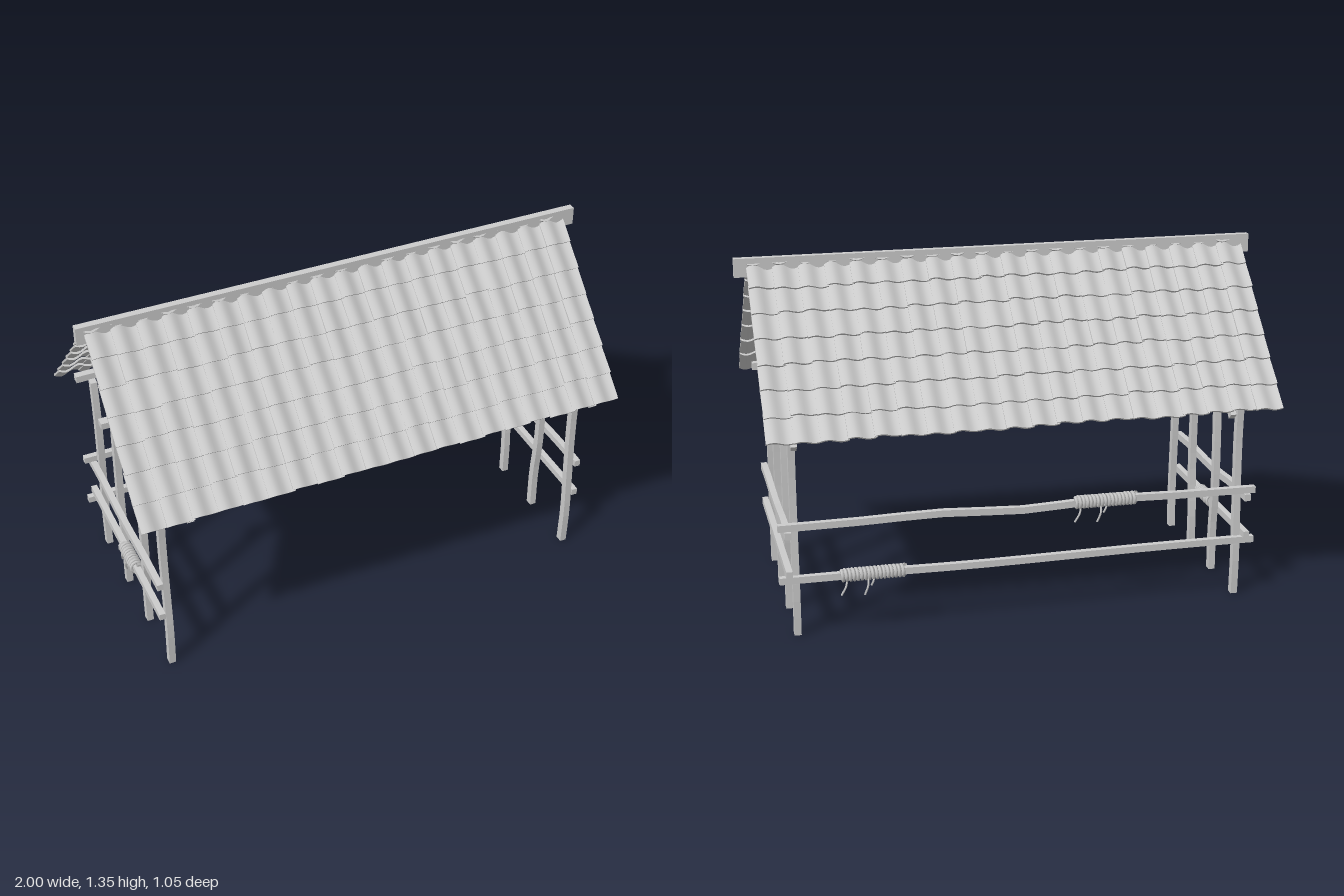
import * as THREE from 'three';
import { mergeGeometries, toCreasedNormals } from 'three/addons/utils/BufferGeometryUtils.js';

const SLOPE = 0.814;                 // roof pitch in radians
const RIDGE_Y = 1.315;
const TAN = Math.tan(SLOPE);

export function createModel() {
  const root = new THREE.Group();
  const wood = new THREE.MeshStandardMaterial({ color: 0xcccccc, flatShading: true });
  const smooth = new THREE.MeshStandardMaterial({ color: 0xcccccc, side: THREE.DoubleSide });

  let seed = 7;
  const rnd = () => (seed = (seed * 16807) % 2147483647) / 2147483647 - 0.5;

  const add = (name, geo, x = 0, y = 0, z = 0, parent = root, mat = wood) => {
    const m = new THREE.Mesh(geo, mat);
    m.name = name;
    m.position.set(x, y, z);
    parent.add(m);
    return m;
  };
  const box = (w, h, d) => new THREE.BoxGeometry(w, h, d);

  // Timber along one axis, bent sideways by evenly spaced offsets
  const bent = (size, along, across, offsets) => {
    const segs = [1, 1, 1];
    segs[along] = 12;
    const g = new THREE.BoxGeometry(...size, ...segs);
    const curve = new THREE.CatmullRomCurve3(offsets.map((o, i) => new THREE.Vector3(i, o, 0)));
    const p = g.attributes.position;
    for (let i = 0; i < p.count; i++) {
      const t = Math.min(1, Math.max(0, p.getComponent(i, along) / size[along] + 0.5));
      p.setComponent(i, across, p.getComponent(i, across) + curve.getPoint(t).y);
    }
    g.computeVertexNormals();
    return g;
  };

  // Posts: four crooked posts at each end
  const outer = [0.375, 0.38, 0.373, 0.366, 0.365, 0.375];
  const inner = [0.122, 0.122, 0.136, 0.137, 0.132, 0.125];
  for (const x of [-0.855, 0.855])
    for (const s of [-1, 1])
      for (const path of [outer, inner])
        add('post', bent([0.026, 0.82, 0.03], 1, 2, path.map(v => v * s)), x, 0.41, 0);

  // Long roof beams resting on the posts
  for (const s of [-1, 1]) {
    add('eaveBeam', box(1.82, 0.028, 0.03), 0, 0.816, 0.425 * s);
    add('innerBeam', box(1.82, 0.026, 0.038), 0, 0.803, 0.125 * s);
  }

  // Rails at the two ends and along the back
  for (const x of [-0.882, 0.882]) {
    add('upperSideRail', bent([0.024, 0.027, 0.82], 2, 1, [0.004, 0.006, -0.004, -0.003, 0.004, 0]), x, 0.403, -0.015);
    add('lowerSideRail', box(0.024, 0.027, 0.82), x, 0.255, -0.015);
  }
  add('upperBackRail', bent([1.835, 0.026, 0.024], 0, 1, [0, 0.002, 0.008, -0.006, 0.008, 0.002, 0]), 0, 0.433, -0.4);
  add('lowerBackRail', bent([1.835, 0.026, 0.024], 0, 1, [0.002, 0.003, 0, -0.003, 0, 0]), 0, 0.228, -0.4);

  // Rope wound round a rail, with loose ends hanging down
  const rope = (length, x, y, z, turn = 0) => {
    const g = new THREE.Group();
    g.name = 'rope';
    const turns = Math.round(length / 0.0145), pts = [];
    for (let i = 0; i <= turns * 8; i++) {
      const a = i * Math.PI / 4;
      pts.push(new THREE.Vector3(length * (i / (turns * 8) - 0.5), 0.021 * Math.cos(a), 0.021 * Math.sin(a)));
    }
    add('ropeCoil', new THREE.TubeGeometry(new THREE.CatmullRomCurve3(pts), turns * 10, 0.007, 5), 0, 0, 0, g, smooth);
    const ends = [[0, 0.01, -0.045, 0.018], [0.02, 0.015, -0.08, 0.02], [0.1, 0.022, -0.075, 0.016]];
    for (const [ox, dx, dy, dz] of ends) {
      const c = new THREE.CatmullRomCurve3([
        new THREE.Vector3(ox * length / 0.24, -0.015, -0.01), new THREE.Vector3(ox * length / 0.24 + dx * 0.2, dy * 0.5, -dz),
        new THREE.Vector3(ox * length / 0.24 + dx, dy, -dz * 0.6)]);
      add('ropeEnd', new THREE.TubeGeometry(c, 8, 0.004, 5), 0, 0, 0, g, smooth);
    }
    g.position.set(x, y, z);
    g.rotation.y = turn;
    root.add(g);
  };
  rope(0.24, -0.32, 0.438, -0.4);
  rope(0.24, 0.57, 0.228, -0.4);
  rope(0.15, -0.882, 0.255, 0.03, Math.PI / 2);

  // Gables: vertical planks cut to the slope, two cross bars, a pair of rafters
  const gable = (x, dir, rafterX) => {
    const n = 26, w = 0.84 / n, top = z => 1.275 - TAN * Math.abs(z);
    const planks = [];
    for (let i = 0; i < n; i++) {
      const a = -0.42 + i * w + 0.002, b = a + w - 0.004;
      const s = new THREE.Shape();
      s.moveTo(a, 0.82);
      s.lineTo(b, 0.82);
      s.lineTo(b, top(b));
      s.lineTo(a, top(a));
      const g = new THREE.ExtrudeGeometry(s, { depth: 0.012, bevelEnabled: false });
      planks.push(g.translate(0, 0, -0.006 + (i % 2) * 0.005));
    }
    add('gablePlanks', mergeGeometries(planks), x, 0, 0).rotation.y = Math.PI / 2;
    add('upperGableBar', box(0.016, 0.026, 0.5), x + 0.012 * dir, 1.015, 0);
    add('lowerGableBar', box(0.016, 0.026, 0.69), x + 0.012 * dir, 0.915, 0);
    for (const side of [0, Math.PI]) {
      const g = new THREE.Group();
      g.name = 'rafter';
      g.rotation.set(SLOPE, side, 0, 'YXZ');
      g.position.y = RIDGE_Y;
      add('rafterBeam', box(0.022, 0.03, 0.74), side ? -rafterX : rafterX, -0.022, 0.37, g);
      root.add(g);
    }
  };
  gable(0.84, 1, 0.858);
  gable(-0.8, -1, -0.78);

  // Roof tiles: S-shaped profile extruded down the slope
  const cols = 20, rows = 7, pitch = 1.917 / cols, run = 0.735 / rows, width = pitch + 0.008;
  const profile = new THREE.Shape();
  const wave = u => 0.008 * Math.sin(u * Math.PI * 2);
  for (let i = 0; i <= 8; i++) profile[i ? 'lineTo' : 'moveTo']((i / 8 - 0.5) * width, wave(i / 8) - 0.002);
  for (let i = 8; i >= 0; i--) profile.lineTo((i / 8 - 0.5) * width, wave(i / 8) + 0.006);
  const tile = toCreasedNormals(
    new THREE.ExtrudeGeometry(profile, { depth: run + 0.018, bevelEnabled: false }), 0.7);

  for (const side of [0, Math.PI]) {
    const tiles = [];
    for (let r = 0; r < rows; r++)
      for (let c = 0; c < cols; c++) {
        const x = (c - (cols - 1) / 2) * pitch + (side ? 0.0075 : -0.0075);
        tiles.push(tile.clone()
          .rotateX(-0.08 + rnd() * 0.03).rotateY(rnd() * 0.03).rotateZ(rnd() * 0.06)
          .translate(x, 0, r * run - 0.018 + rnd() * 0.008));
      }
    const m = add(side ? 'backRoofTiles' : 'frontRoofTiles', mergeGeometries(tiles), 0, RIDGE_Y, 0, root, smooth);
    m.rotation.set(SLOPE, side, 0, 'YXZ');
  }

  // Ridge board
  add('ridgeBoard', box(2, 0.07, 0.028), 0, 1.313, 0);

  return root;
}
